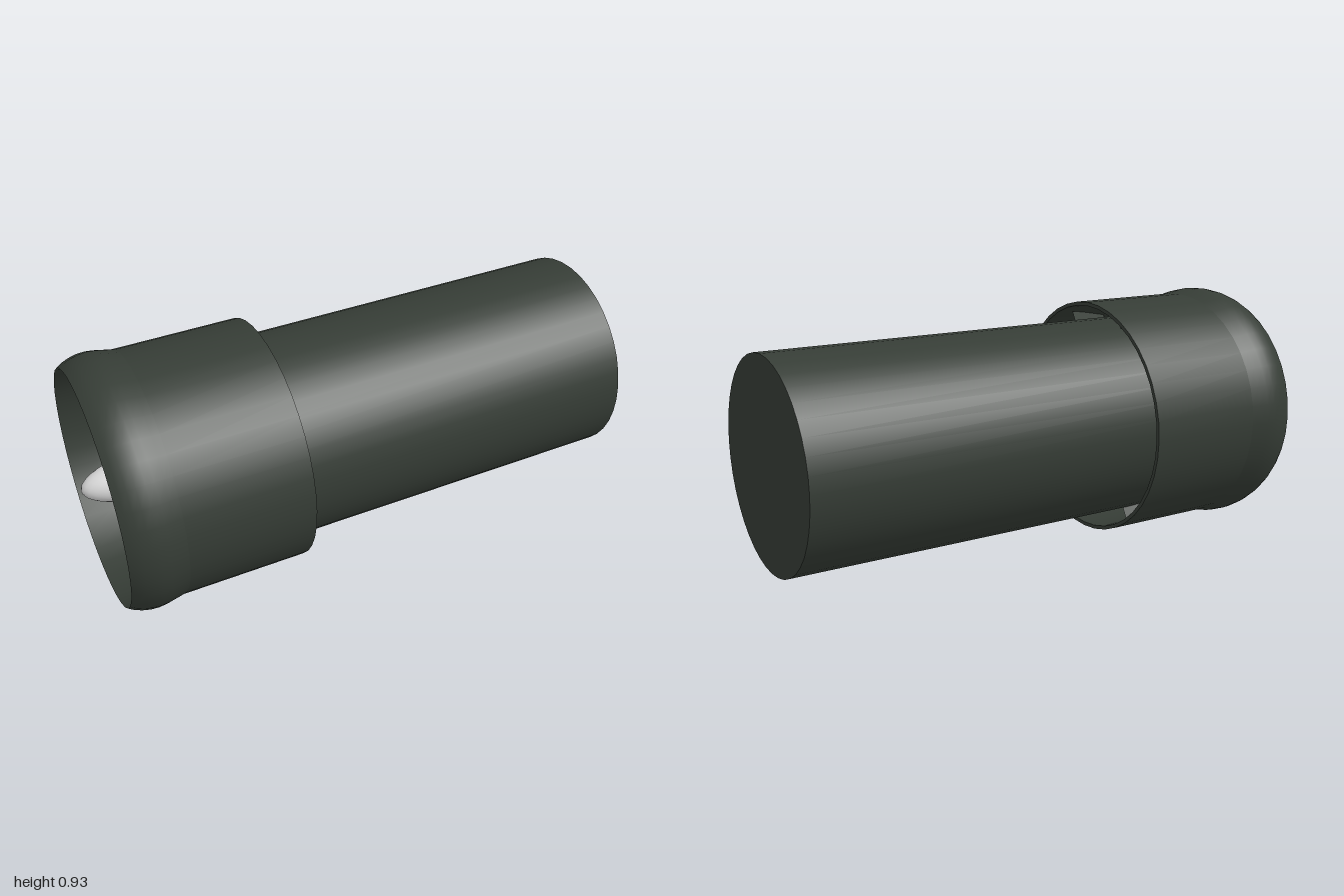
import * as THREE from 'three';

const AXIS_Y = 0.467;
const SIDES = 40;

export function createModel() {
  const model = new THREE.Group();
  model.name = 'ductedFan';
  const casing = new THREE.MeshStandardMaterial({ color: 0x363d36, side: THREE.DoubleSide });
  casing.name = 'dark green casing';
  const light = new THREE.MeshStandardMaterial({ color: 0xdcdcdc });
  light.name = 'light grey spinner';

  // Everything turns about the x axis at this height
  const unit = new THREE.Group();
  unit.name = 'fanUnit';
  unit.position.y = AXIS_Y;
  model.add(unit);

  // Turned part from [x, radius] pairs; increasing x faces outward
  function turned(name, profile, material) {
    const points = profile.map(([x, r]) => new THREE.Vector2(r, x));
    const mesh = new THREE.Mesh(new THREE.LatheGeometry(points, SIDES), material);
    mesh.rotation.z = -Math.PI / 2;
    mesh.name = name;
    unit.add(mesh);
  }

  // Duct shell with a rounded intake lip
  turned('intakeLip', [[-0.965, 0.435], [-0.945, 0.447], [-0.92, 0.457], [-0.89, 0.464],
    [-0.86, 0.466], [-0.83, 0.463], [-0.795, 0.456], [-0.765, 0.45]], casing);
  turned('ductOuterWall', [[-0.765, 0.45], [-0.305, 0.45]], casing);
  turned('ductRearRim', [[-0.305, 0.45], [-0.305, 0.436]], casing);
  turned('ductInnerWall', [[-0.305, 0.436], [-0.72, 0.428], [-0.86, 0.428], [-0.965, 0.435]], casing);

  // Motor body, flared at its hidden front end
  turned('motorFlare', [[-0.64, 0.425], [-0.5, 0.38]], casing);
  turned('motorBody', [[-0.5, 0.38], [1, 0.38]], casing);
  turned('rearCap', [[1, 0.38], [1, 0]], casing);
  turned('frontBulkhead', [[-0.64, 0], [-0.64, 0.425]], casing);
  turned('rotorShaft', [[-0.76, 0.075], [-0.64, 0.075]], casing);

  // Pointed oval spinner
  const spinner = new THREE.Mesh(new THREE.SphereGeometry(1, 32, 20), light);
  spinner.name = 'spinner';
  spinner.scale.set(0.25, 0.085, 0.085);
  spinner.position.x = -0.75;
  unit.add(spinner);

  // Pitched blade: a grid bent so that its front edge leads around the axis
  function bladeGeometry(xMid, rootR, tipR, halfLength, rootHalf, tipHalf) {
    const geometry = new THREE.PlaneGeometry(1, 1, 4, 6);
    const p = geometry.attributes.position;
    for (let i = 0; i < p.count; i++) {
      const along = p.getX(i) * 2;
      const t = p.getY(i) + 0.5;
      const r = THREE.MathUtils.lerp(rootR, tipR, t);
      const side = -along * THREE.MathUtils.lerp(rootHalf, tipHalf, t);
      const a = side / r;
      p.setXYZ(i, xMid + along * halfLength, r * Math.sin(a), -r * Math.cos(a));
    }
    geometry.computeVertexNormals();
    return geometry;
  }

  const rotorBlade = bladeGeometry(-0.79, 0.06, 0.424, 0.055, 0.03, 0.085);
  const statorVane = bladeGeometry(-0.47, 0.37, 0.432, 0.1, 0.033, 0.035);
  for (let i = 0; i < 8; i++) {
    const angle = THREE.MathUtils.degToRad(31 + i * 45);
    for (const [name, geometry] of [['rotorBlade', rotorBlade], ['statorVane', statorVane]]) {
      const blade = new THREE.Mesh(geometry, casing);
      blade.name = name + (i + 1);
      blade.rotation.x = angle;
      unit.add(blade);
    }
  }
  return model;
}
